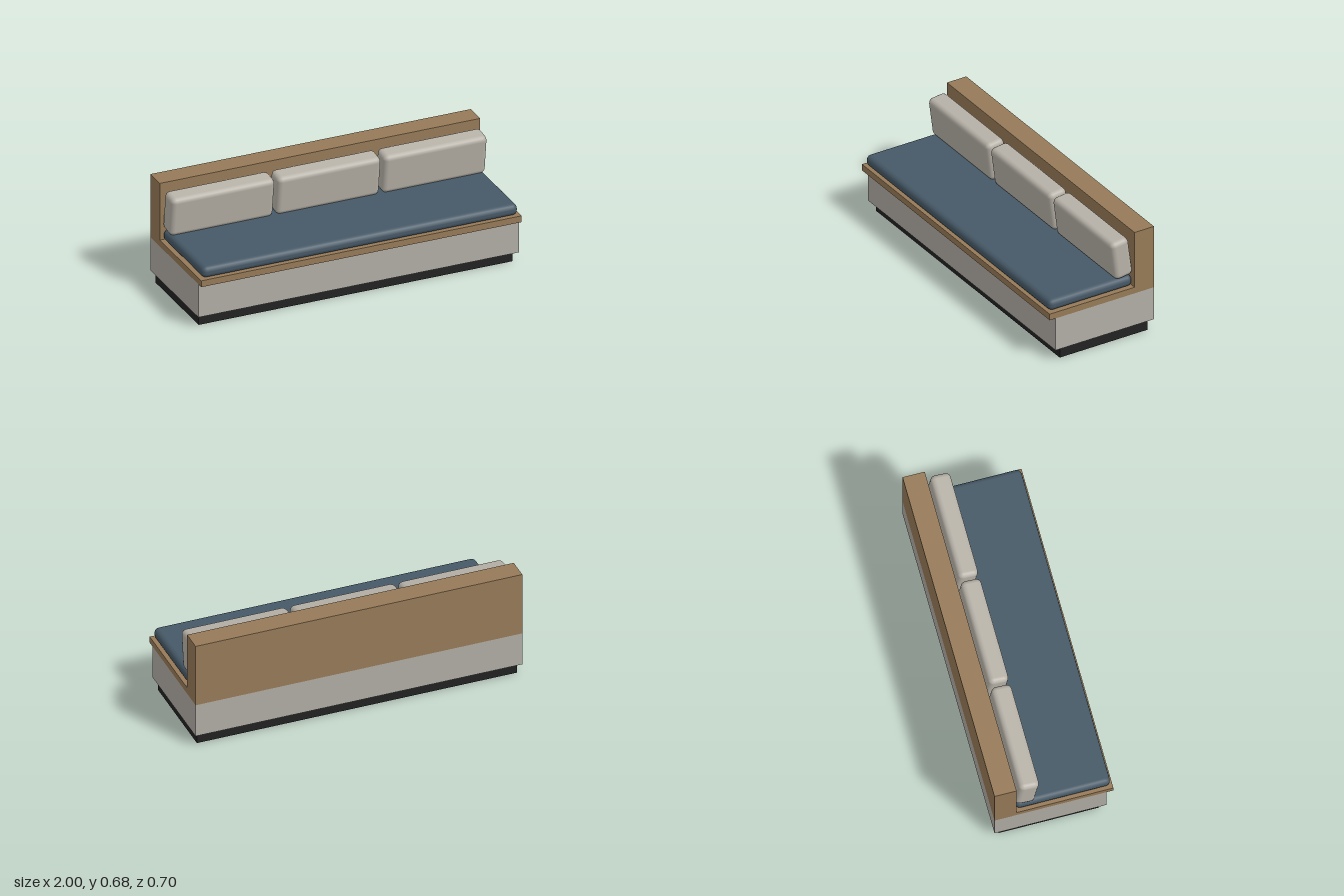
import * as THREE from 'three';
import { RoundedBoxGeometry } from 'three/addons/geometries/RoundedBoxGeometry.js';

function material(name, color) {
  const m = new THREE.MeshStandardMaterial({ color });
  m.name = name;
  return m;
}

export function createModel() {
  const group = new THREE.Group();
  group.name = 'banquetteBench';

  const wood = material('wood', 0x967a58);
  const panel = material('greyPanel', 0xb1ada5);
  const black = material('blackPlinth', 0x222222);
  const blue = material('blueFabric', 0x465967);
  const linen = material('linenFabric', 0xb7b2a8);

  function add(name, geometry, mat, x, y, z) {
    const mesh = new THREE.Mesh(geometry, mat);
    mesh.name = name;
    mesh.position.set(x, y, z);
    group.add(mesh);
    return mesh;
  }

  // Box given by its width and its y and z ranges
  function slab(name, mat, width, y0, y1, z0, z1) {
    const geometry = new THREE.BoxGeometry(width, y1 - y0, z1 - z0);
    return add(name, geometry, mat, 0, (y0 + y1) / 2, (z0 + z1) / 2);
  }

  // Carcass
  slab('plinth', black, 1.96, 0, 0.07, -0.32, 0.27);
  slab('base', panel, 2, 0.07, 0.28, -0.35, 0.31);
  slab('seatBoard', wood, 2, 0.28, 0.32, -0.22, 0.35);
  slab('backrest', wood, 2, 0.28, 0.68, -0.35, -0.22);

  // Seat cushion
  add('seatCushion', new RoundedBoxGeometry(1.97, 0.07, 0.56, 2, 0.03), blue, 0, 0.355, 0.06);

  // Three loose back cushions, tops tipped slightly forward
  const cushion = new RoundedBoxGeometry(0.645, 0.25, 0.12, 2, 0.03);
  for (const x of [-0.663, 0, 0.663]) {
    add('backCushion', cushion, linen, x, 0.514, -0.15).rotation.x = 0.13;
  }

  return group;
}
